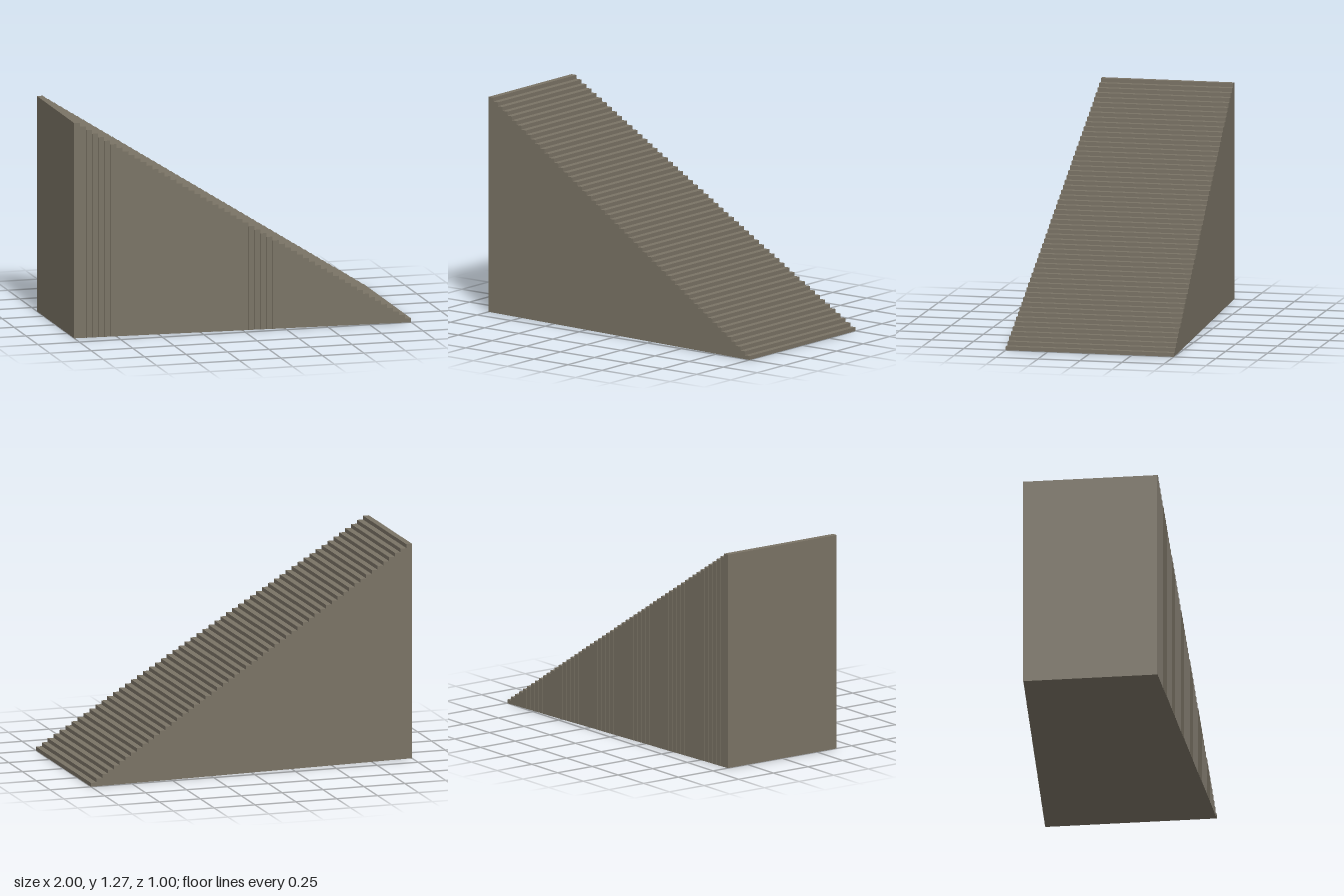
import * as THREE from 'three';

const STEPS = 56;
const LENGTH = 2;
const HEIGHT = 1.275;
const BOTTOM_WIDTH = 1.0;
const TOP_WIDTH = 0.785;

export function createModel() {
  const stone = new THREE.MeshStandardMaterial({ color: 0x7a7365 });
  stone.name = 'stone';

  const staircase = new THREE.Group();
  staircase.name = 'staircase';

  // Solid steps from the ground up, rising and narrowing towards -x
  const tread = LENGTH / STEPS;
  for (let i = 0; i < STEPS; i++) {
    const height = (HEIGHT * (i + 1)) / STEPS;
    const width = THREE.MathUtils.lerp(BOTTOM_WIDTH, TOP_WIDTH, i / (STEPS - 1));
    const step = new THREE.Mesh(new THREE.BoxGeometry(tread, height, width), stone);
    step.name = `step${i + 1}`;
    step.position.set(LENGTH / 2 - (i + 0.5) * tread, height / 2, 0);
    staircase.add(step);
  }
  return staircase;
}
